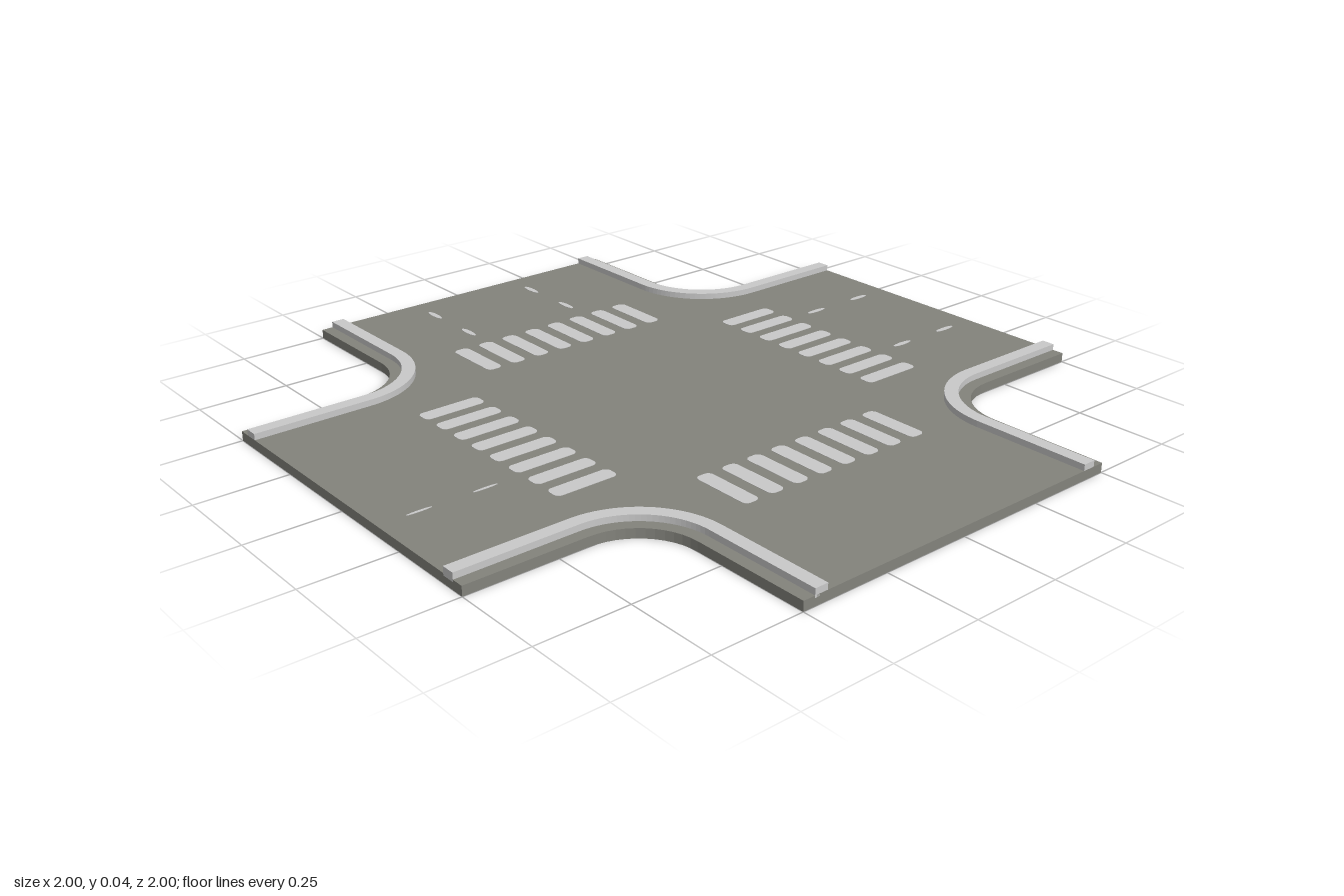
import * as THREE from 'three';

const ROAD_Y = 0.026;   // road surface height
const C = 0.67;         // centre of each corner arc, in x and z

// Extrude a flat plan shape upwards from y0 to y1.
function slab(shape, y0, y1, segments = 10) {
  const g = new THREE.ExtrudeGeometry(shape, { depth: y1 - y0, bevelEnabled: false, curveSegments: segments });
  return g.rotateX(-Math.PI / 2).translate(0, y0, 0);
}

function roundedRect(w, h, r) {
  const s = new THREE.Shape();
  const x = w / 2 - r, y = h / 2 - r;
  s.absarc(x, y, r, 0, Math.PI / 2);
  s.absarc(-x, y, r, Math.PI / 2, Math.PI);
  s.absarc(-x, -y, r, Math.PI, Math.PI * 1.5);
  s.absarc(x, -y, r, Math.PI * 1.5, Math.PI * 2);
  s.closePath();
  return s;
}

// Cross-shaped outline with rounded inner corners, counter-clockwise.
function crossOutline() {
  const pts = [];
  for (let k = 0; k < 4; k++) {
    const turn = k * Math.PI / 2;
    const quarter = [new THREE.Vector2(1, 0.5)];
    for (let i = 0; i <= 12; i++) {
      const a = -Math.PI / 2 - (i / 12) * Math.PI / 2;
      quarter.push(new THREE.Vector2(C + 0.17 * Math.cos(a), C + 0.17 * Math.sin(a)));
    }
    quarter.push(new THREE.Vector2(0.5, 1));
    quarter.forEach(p => pts.push(p.rotateAround(new THREE.Vector2(), turn)));
  }
  return pts;
}

// Upright wall following the outline.
function skirt(pts, y0, y1) {
  const pos = [];
  pts.forEach((a, i) => {
    const b = pts[(i + 1) % pts.length];
    pos.push(a.x, y0, -a.y, b.x, y0, -b.y, b.x, y1, -b.y);
    pos.push(a.x, y0, -a.y, b.x, y1, -b.y, a.x, y1, -a.y);
  });
  const g = new THREE.BufferGeometry();
  g.setAttribute('position', new THREE.Float32BufferAttribute(pos, 3));
  g.computeVertexNormals();
  return g;
}

export function createModel() {
  const model = new THREE.Group();
  model.name = 'crossroads';
  const asphalt = new THREE.MeshStandardMaterial({ color: 0x83837c, side: THREE.DoubleSide });
  asphalt.name = 'asphalt';
  const paint = new THREE.MeshStandardMaterial({ color: 0xc9c9c9 });
  paint.name = 'light grey';

  const add = (parent, name, geometry, material) => {
    const m = new THREE.Mesh(geometry, material);
    m.name = name;
    parent.add(m);
    return m;
  };

  // Road sheet and its edge, open underneath
  const outline = crossOutline();
  const sheet = new THREE.ShapeGeometry(new THREE.Shape(outline)).rotateX(-Math.PI / 2).translate(0, ROAD_Y, 0);
  add(model, 'roadSurface', sheet, asphalt);
  add(model, 'roadEdge', skirt(outline, 0, ROAD_Y), asphalt);

  // One curb band around a corner
  const band = new THREE.Shape();
  const inner = 0.43, outer = 0.467;
  band.moveTo(1, inner);
  band.lineTo(1, outer);
  band.lineTo(C, outer);
  band.absarc(C, C, C - outer, -Math.PI / 2, -Math.PI, true);
  band.lineTo(outer, 1);
  band.lineTo(inner, 1);
  band.lineTo(inner, C);
  band.absarc(C, C, C - inner, Math.PI, Math.PI * 1.5, false);
  band.closePath();
  const curbGeometry = slab(band, 0.02, 0.043, 12);
  const stripeGeometry = slab(roundedRect(0.046, 0.18, 0.016), ROAD_Y - 0.001, ROAD_Y + 0.001, 4);

  // Curbs and crossings, repeated for the four arms
  for (let k = 0; k < 4; k++) {
    const arm = new THREE.Group();
    arm.name = 'arm';
    arm.rotation.y = k * Math.PI / 2;
    add(arm, 'curb', curbGeometry, paint);
    for (let i = 0; i < 8; i++) {
      add(arm, 'crossingStripe', stripeGeometry, paint).position.set((i - 3.5) * 0.08, 0, 0.52);
    }
    model.add(arm);
  }

  // Worn lane dashes: x, z, width, along x or not
  const dash = (x, z, w, sideways) => {
    const s = new THREE.Shape();
    s.absellipse(0, 0, w / 2, 0.035, 0, Math.PI * 2);
    const m = add(model, 'laneDash', slab(s, ROAD_Y - 0.001, ROAD_Y + 0.001, 5), paint);
    m.position.set(x, 0, z);
    if (sideways) m.rotation.y = Math.PI / 2;
  };
  for (const d of [0.71, 0.89]) {
    for (const x of [-0.185, 0.165]) dash(x, -d, 0.018, false);
    for (const z of [-0.187, 0.16]) dash(d, z, 0.016, true);
    dash(-d, 0.157, 0.008, true);
  }
  return model;
}
